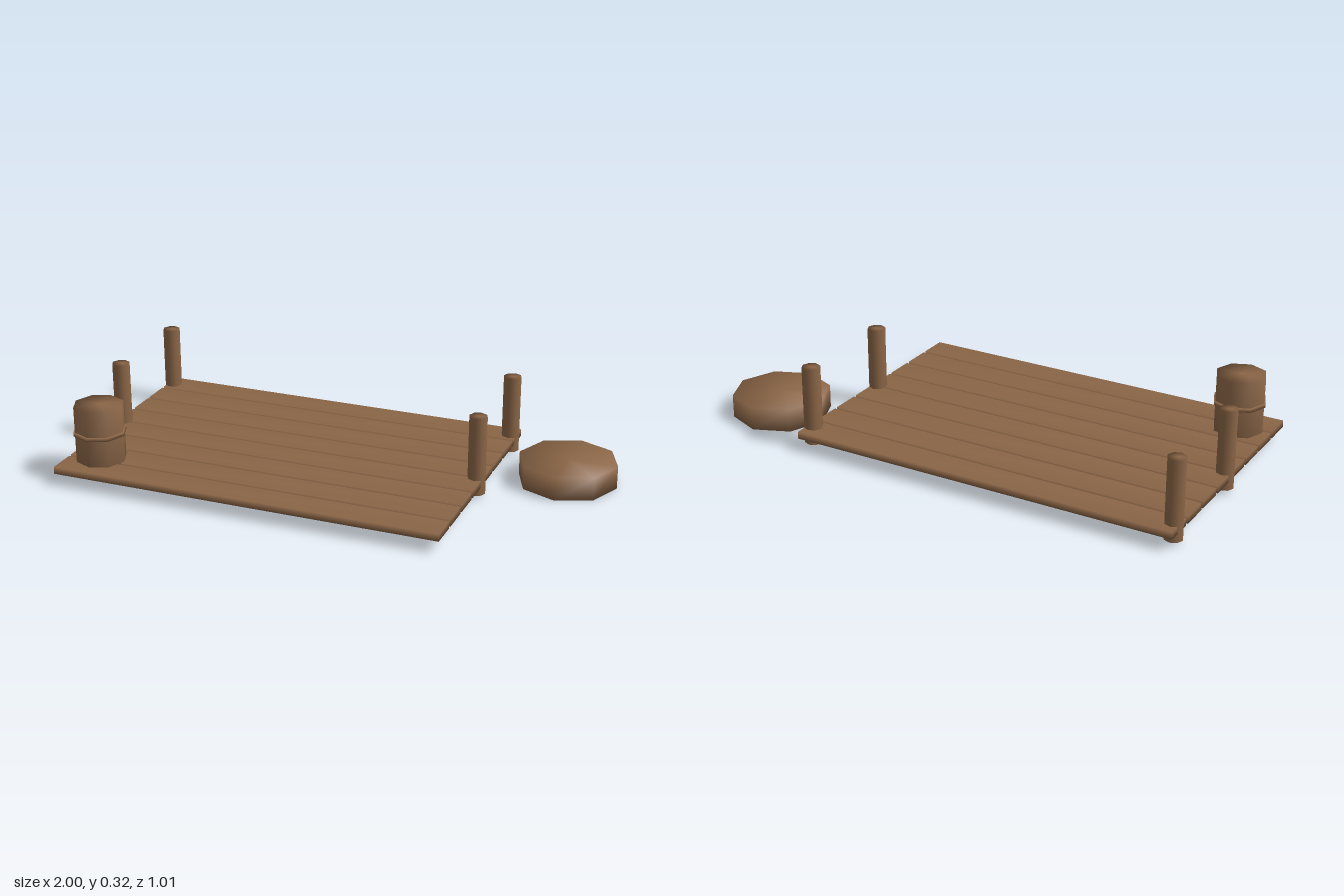
import * as THREE from 'three';
import { mergeVertices } from 'three/addons/utils/BufferGeometryUtils.js';

// Weld shared corners so shading rolls softly over every edge
function soften(geometry) {
  geometry.deleteAttribute('normal');
  geometry.deleteAttribute('uv');
  const welded = mergeVertices(geometry, 1e-4);
  welded.computeVertexNormals();
  return welded;
}

export function createModel() {
  const group = new THREE.Group();
  const wood = new THREE.MeshStandardMaterial({ color: 0x8b6647 });
  wood.name = 'brown wood';

  const add = (name, geometry, x, y, z) => {
    const mesh = new THREE.Mesh(geometry, wood);
    mesh.name = name;
    mesh.position.set(x, y, z);
    group.add(mesh);
  };
  // Upright eight-sided solid
  const octagon = (radius, height) =>
    soften(new THREE.CylinderGeometry(radius, radius, height, 8));

  // Deck of eight separate planks
  const plank = soften(new THREE.BoxGeometry(1.537, 0.028, 0.113));
  for (let i = 0; i < 8; i++) add('plank' + (i + 1), plank, -0.222, 0.061, (i - 3.5) * 0.128);

  // Mooring posts along both ends
  const post = octagon(0.0355, 0.308);
  for (const [side, x] of [['right', -0.966], ['left', 0.522]]) {
    add(side + 'BackPost', post, x, 0.168, -0.437);
    add(side + 'MiddlePost', post, x, 0.168, 0);
  }

  // Barrel with two hoops, the lower one set below the deck
  add('barrelBody', octagon(0.0975, 0.232), -0.865, 0.181, 0.361);
  const hoop = octagon(0.103, 0.015);
  add('upperHoop', hoop, -0.865, 0.189, 0.361);
  add('lowerHoop', hoop, -0.865, 0.0345, 0.361);

  // Low round float beside the deck
  add('float', octagon(0.192, 0.091), 0.805, 0.0455, -0.257);

  return group;
}
